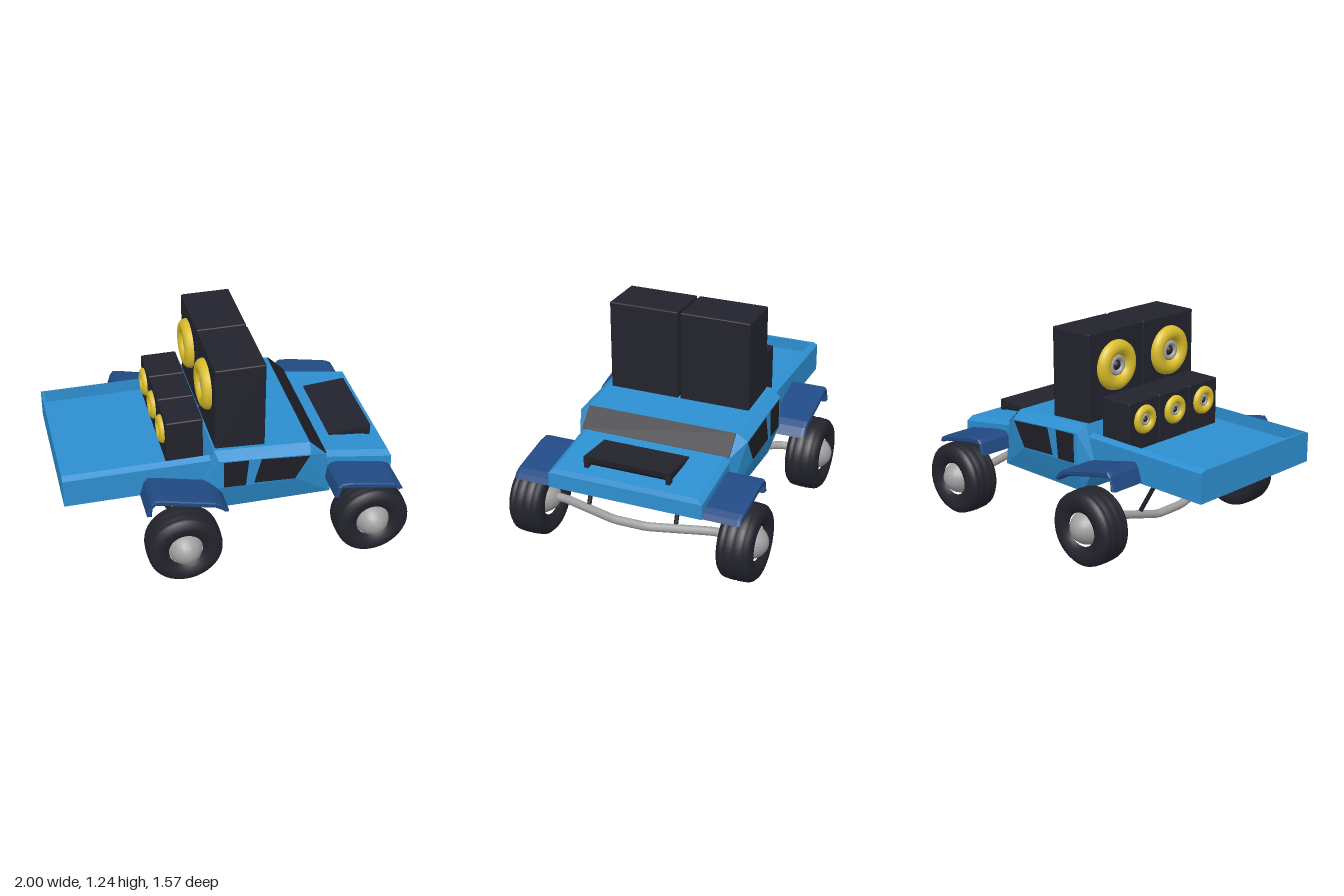
import * as THREE from 'three';
import { ConvexGeometry } from 'three/addons/geometries/ConvexGeometry.js';
import { RoundedBoxGeometry } from 'three/addons/geometries/RoundedBoxGeometry.js';

const mat = (name, color) => {
  const m = new THREE.MeshStandardMaterial({ color });
  m.name = name;
  return m;
};
const V = (x, y, z) => new THREE.Vector3(x, y, z);

export function createModel() {
  const root = new THREE.Group();
  root.name = 'speakerTruck';
  const blue = mat('bodyBlue', 0x2d8fd0);
  const navy = mat('fenderNavy', 0x214a84);
  const black = mat('rubberBlack', 0x23232d);
  const glass = mat('darkGlass', 0x1e1e25);
  const yellow = mat('coneYellow', 0xd9bd2b);
  const grey = mat('metalGrey', 0xa0a0a0);

  const add = (name, geo, m, x = 0, y = 0, z = 0, parent = root) => {
    const mesh = new THREE.Mesh(geo, m);
    mesh.name = name;
    mesh.position.set(x, y, z);
    parent.add(mesh);
    return mesh;
  };
  const shape = (pts) => new THREE.Shape(pts.map((p) => new THREE.Vector2(p[0], p[1])));
  const extrude = (s, depth, opts = {}) =>
    new THREE.ExtrudeGeometry(s, { depth, bevelEnabled: false, ...opts });
  // convex solid from [x, y, halfWidth] points mirrored in z
  const hull = (pts) => new ConvexGeometry(pts.flatMap(([x, y, z]) => [V(x, y, z), V(x, y, -z)]));

  // open cargo bed with bevelled rim
  const bedGeo = extrude(shape([
    [-0.465, 0.49], [0.465, 0.49], [0.465, 0.663], [0.43, 0.68],
    [0.43, 0.605], [-0.43, 0.605], [-0.43, 0.68], [-0.465, 0.663],
  ]), 0.87);
  bedGeo.rotateY(Math.PI / 2);
  add('cargoBed', bedGeo, blue, -1, 0, 0);
  add('tailgate', new THREE.BoxGeometry(0.015, 0.075, 0.88), blue, -0.9925, 0.638, 0);

  // faceted cabin and hood
  add('cabin', hull([
    [-0.13, 0.73, 0.465], [0.44, 0.695, 0.465], [0.545, 0.59, 0.465],
    [0.58, 0.315, 0.465], [-0.09, 0.315, 0.465], [-0.2, 0.49, 0.465],
    [-0.11, 0.69, 0.525], [0.43, 0.65, 0.525], [0.345, 0.49, 0.525], [-0.11, 0.5, 0.525],
  ]), blue);
  add('hood', hull([
    [0.5, 0.6, 0.43], [0.94, 0.533, 0.43], [0.5, 0.575, 0.465], [0.953, 0.505, 0.465],
    [0.5, 0.42, 0.465], [0.955, 0.417, 0.465],
  ]), blue);

  // windows
  const windows = {
    rearWindow: [[-0.085, 0.505], [0.045, 0.5], [0.062, 0.672], [-0.085, 0.68]],
    frontWindow: [[0.095, 0.508], [0.34, 0.495], [0.425, 0.642], [0.137, 0.667]],
  };
  for (const [name, pts] of Object.entries(windows)) {
    const geo = extrude(shape(pts), 0.008);
    add(name + 'Left', geo, glass, 0, 0, 0.52);
    add(name + 'Right', geo, glass, 0, 0, -0.528);
  }
  const shield = add('windshield', new THREE.BoxGeometry(0.009, 0.146, 0.92), glass, 0.4935, 0.6435, 0);
  shield.rotation.z = Math.PI / 4;

  // hood scoop: wedge with posts framing an open front
  add('hoodScoop', hull([
    [0.62, 0.592, 0.262], [0.88, 0.612, 0.262], [0.62, 0.57, 0.262], [0.87, 0.575, 0.262],
    [0.84, 0.545, 0.25],
  ]), black, 0, 0, 0.015);
  for (const s of [-1, 1]) {
    add('scoopPost', new THREE.BoxGeometry(0.035, 0.06, 0.028), black, 0.862, 0.569, 0.015 + s * 0.248);
  }

  // curved sheet fenders over each wheel
  const fender = (name, top, t) => {
    const low = top.map(([x, y], i) => [
      x + (i === 0 ? 0.02 : i === top.length - 1 ? -0.02 : 0), y - (i % (top.length - 1) ? t : 0),
    ]);
    const s = shape([...top, ...low.reverse()]);
    const geo = extrude(s, 0.225, {
      bevelEnabled: true, bevelThickness: 0.02, bevelSize: 0.008, bevelOffset: -0.004, bevelSegments: 2,
    });
    add(name + 'Left', geo, navy, 0, 0, 0.44);
    add(name + 'Right', geo, navy, 0, 0, -0.665);
  };
  fender('rearFender', [
    [-0.56, 0.5], [-0.535, 0.58], [-0.515, 0.603], [-0.47, 0.595], [-0.3, 0.555],
    [-0.17, 0.525], [-0.13, 0.5], [-0.095, 0.455],
  ], 0.03);
  fender('frontFender', [
    [0.545, 0.43], [0.56, 0.5], [0.58, 0.52], [0.64, 0.518], [0.78, 0.492],
    [0.9, 0.468], [0.935, 0.45], [0.95, 0.425],
  ], 0.03);

  // ribbed tyres with domed hubs
  const tyreProfile = [
    [0.1, -0.07], [0.125, -0.095], [0.165, -0.102], [0.195, -0.097], [0.214, -0.078],
    [0.219, -0.06], [0.21, -0.052], [0.22, -0.044], [0.222, -0.01], [0.211, 0],
    [0.222, 0.01], [0.22, 0.044], [0.21, 0.052], [0.219, 0.06], [0.214, 0.078],
    [0.195, 0.097], [0.165, 0.102], [0.125, 0.095], [0.1, 0.07],
  ].map((p) => new THREE.Vector2(p[0], p[1]));
  const tyreGeo = new THREE.LatheGeometry(tyreProfile, 40);
  tyreGeo.rotateX(Math.PI / 2);
  const hubGeo = new THREE.SphereGeometry(0.108, 24, 16);
  hubGeo.scale(1, 1, 1.32);
  for (const [pos, x] of [['rear', -0.35], ['front', 0.775]]) {
    for (const [side, z, hz] of [['Left', 0.625, 0.642], ['Right', -0.65, -0.642]]) {
      add(pos + 'Tyre' + side, tyreGeo, black, x, 0.23, z);
      add(pos + 'Hub' + side, hubGeo, grey, x, 0.235, hz);
    }
  }

  // bent axle tubes: straight runs joined at the bends
  const rod = (name, pts, r, m) => {
    const path = new THREE.CurvePath();
    for (let i = 1; i < pts.length; i++) path.add(new THREE.LineCurve3(pts[i - 1], pts[i]));
    add(name, new THREE.TubeGeometry(path, 30, r, 10, false), m);
  };
  const axleZ = [-0.6, -0.46, -0.1, 0.1, 0.46, 0.6];
  const bend = [0, 0, 1, 1, 0, 0];
  rod('frontAxle', axleZ.map((z, i) => V(0.775 + 0.1 * bend[i], 0.245, z)), 0.025, grey);
  rod('rearAxle', axleZ.map((z, i) => V(-0.35, 0.24 - 0.1 * bend[i], z)), 0.025, grey);

  // suspension struts
  for (const z of [0.29, -0.25]) {
    rod('rearStrut', [V(-0.52, 0.52, z), V(-0.45, 0.37, z), V(-0.35, 0.2, z)], 0.013, black);
    rod('frontStrut', [V(0.74, 0.45, z), V(0.81, 0.26, z)], 0.013, black);
  }

  // loudspeakers facing the rear
  const speaker = (name, w, h, d, x, y, z, r) => {
    const g = new THREE.Group();
    g.name = name;
    g.position.set(x, y, z);
    root.add(g);
    add('cabinet', new RoundedBoxGeometry(d, h, w, 2, 0.008), black, d / 2, h / 2, 0, g);
    const cy = h * 0.61;
    const ring = (part, R, t, m, px) => {
      const mesh = add(part, new THREE.TorusGeometry(R, t, 12, 32), m, px, cy, 0, g);
      mesh.rotation.y = Math.PI / 2;
    };
    ring('coneRing', r * 0.7, r * 0.3, yellow, -r * 0.03);
    ring('innerRing', r * 0.31, r * 0.1, grey, -r * 0.08);
    const dome = new THREE.SphereGeometry(r * 0.2, 16, 10);
    add('dustCap', dome, black, 0, cy, 0, g);
  };
  speaker('bigSpeakerLeft', 0.43, 0.55, 0.295, -0.118, 0.7, 0.228, 0.15);
  speaker('bigSpeakerRight', 0.43, 0.55, 0.295, -0.118, 0.7, -0.218, 0.15);
  for (const z of [-0.255, -0.005, 0.245]) {
    speaker('smallSpeaker', 0.246, 0.29, 0.215, -0.385, 0.6, z, 0.085);
  }

  return root;
}
